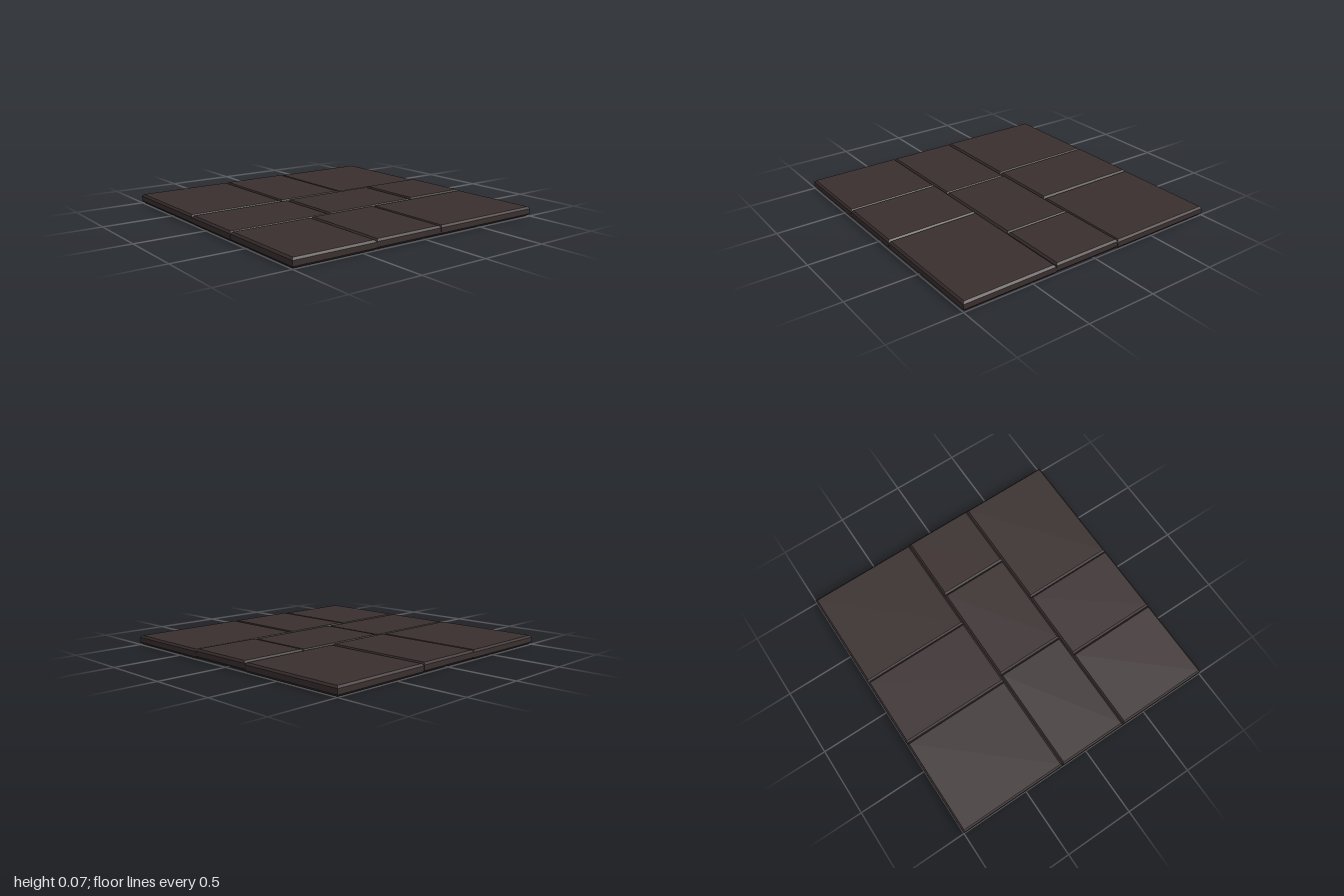
import * as THREE from 'three';

const THICK = 0.064, BEVEL_W = 0.012, BEVEL_H = 0.014, GAP = 0.002;

// Slab with chamfered top and bottom rims, lofted from four rectangular rings
function tileGeometry(w, d) {
  const rings = [
    [0, BEVEL_W], [BEVEL_H, 0], [THICK - BEVEL_H, 0], [THICK, BEVEL_W],
  ].map(([y, inset]) => {
    const a = w / 2 - inset, b = d / 2 - inset;
    return [[-a, y, b], [a, y, b], [a, y, -b], [-a, y, -b]];
  });
  const pos = [];
  const quad = (a, b, c, e) => pos.push(...a, ...b, ...c, ...a, ...c, ...e);
  for (let r = 0; r < 3; r++) {
    for (let i = 0; i < 4; i++) {
      const j = (i + 1) % 4;
      quad(rings[r][i], rings[r][j], rings[r + 1][j], rings[r + 1][i]);
    }
  }
  quad(...rings[3]);
  quad(...rings[0].slice().reverse());
  const geo = new THREE.BufferGeometry();
  geo.setAttribute('position', new THREE.Float32BufferAttribute(pos, 3));
  geo.computeVertexNormals();
  return geo;
}

export function createModel() {
  const model = new THREE.Group();
  model.name = 'stoneFloor';
  const stone = new THREE.MeshStandardMaterial({ color: 0x3a2f2f });
  stone.name = 'dark brown stone';

  // Rows of tiles from back to front: z range, joints along x, small lift of each tile
  const rows = [
    { name: 'back', z: [-1, -0.195], x: [-1, -0.283, 0.243, 1], lift: [0.002, 0.004, 0] },
    { name: 'middle', z: [-0.195, 0.318], x: [-1, -0.233, 0.502, 1], lift: [0, 0.004, 0.008] },
    { name: 'front', z: [0.318, 1], x: [-1, -0.393, 0.138, 1], lift: [0.001, 0.004, 0.003] },
  ];
  // Outer edges stay at the border, inner edges leave half a joint
  const edge = (v, dir) => (Math.abs(v) === 1 ? v : v + dir * GAP / 2);

  for (const row of rows) {
    const z0 = edge(row.z[0], 1), z1 = edge(row.z[1], -1);
    row.lift.forEach((lift, i) => {
      const x0 = edge(row.x[i], 1), x1 = edge(row.x[i + 1], -1);
      const tile = new THREE.Mesh(tileGeometry(x1 - x0, z1 - z0), stone);
      tile.name = `${row.name}Tile${i + 1}`;
      tile.position.set((x0 + x1) / 2, lift, (z0 + z1) / 2);
      model.add(tile);
    });
  }

  // Grout bed closing the joints between tiles
  const grout = new THREE.Mesh(new THREE.BoxGeometry(1.97, 0.032, 1.97), stone);
  grout.name = 'groutBed';
  grout.position.y = 0.036;
  model.add(grout);
  return model;
}
